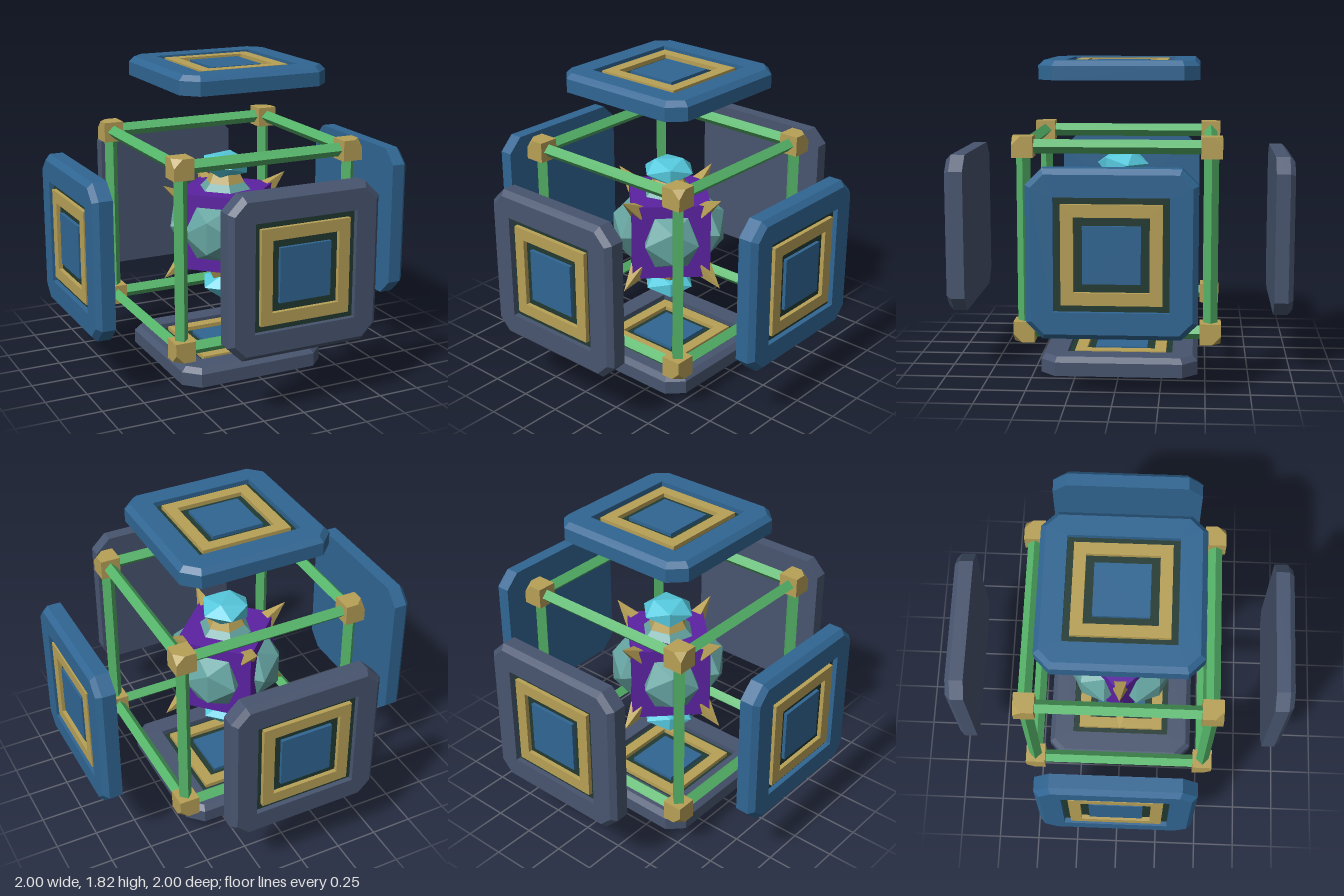
import * as THREE from 'three';
import { ConvexGeometry } from 'three/addons/geometries/ConvexGeometry.js';

const mat = (name, color) => new THREE.MeshStandardMaterial({ name, color, flatShading: true });
const CY = 0.82; // height of the centre

// Eight points of a square with cut corners, anticlockwise
const ring = (r, c, z) =>
  [[r, -c], [r, c], [c, r], [-c, r], [-r, c], [-r, -c], [-c, -r], [c, -r]].map(([x, y]) => [x, y, z]);

// Skin a list of equal rings
function skin(rings) {
  const pos = [];
  for (let k = 0; k < rings.length - 1; k++) {
    const a = rings[k], b = rings[k + 1];
    for (let i = 0; i < 8; i++) {
      const j = (i + 1) % 8;
      pos.push(...a[i], ...a[j], ...b[j], ...a[i], ...b[j], ...b[i]);
    }
  }
  const g = new THREE.BufferGeometry();
  g.setAttribute('position', new THREE.Float32BufferAttribute(pos, 3));
  g.computeVertexNormals();
  return g;
}

// Square frame with a square hole
function squareRing(outer, inner, depth) {
  const path = (p, r) => p.moveTo(-r, -r).lineTo(r, -r).lineTo(r, r).lineTo(-r, r).closePath();
  const s = new THREE.Shape();
  path(s, outer);
  const h = new THREE.Path();
  path(h, inner);
  s.holes.push(h);
  return new THREE.ExtrudeGeometry(s, { depth, bevelEnabled: false });
}

export function createModel() {
  const M = {
    blue: mat('blue', 0x306693), slate: mat('slate', 0x48556f), gold: mat('gold', 0xb8a157),
    green: mat('green', 0x55b469), dark: mat('dark green', 0x223a32), purple: mat('purple', 0x5c22a2),
    teal: mat('teal', 0x64a3a0), cyan: mat('cyan', 0x55c8dc),
  };
  const root = new THREE.Group();
  root.name = 'cubeDevice';
  const add = (parent, name, geo, m, x = 0, y = 0, z = 0) => {
    const mesh = new THREE.Mesh(geo, m);
    mesh.name = name;
    mesh.position.set(x, y, z);
    parent.add(mesh);
    return mesh;
  };

  // Six floating plates, each with a recessed square inlay
  const plateGeo = skin([
    ring(0, 0, 0), ring(0.458, 0.37, 0), ring(0.458, 0.37, 0.08),
    ring(0.428, 0.358, 0.11), ring(0.308, 0.308, 0.11), ring(0.308, 0.308, 0.08),
  ]);
  const floorGeo = new THREE.PlaneGeometry(0.616, 0.616);
  const trimGeo = squareRing(0.27, 0.202, 0.025);
  const padGeo = new THREE.BoxGeometry(0.31, 0.31, 0.02);
  const plate = (name, m, x, y, z, rx, ry) => {
    const g = new THREE.Group();
    g.name = name;
    add(g, 'plateBody', plateGeo, m);
    add(g, 'recessFloor', floorGeo, M.dark, 0, 0, 0.08);
    add(g, 'squareTrim', trimGeo, M.gold, 0, 0, 0.08);
    add(g, 'centrePad', padGeo, M.blue, 0, 0, 0.09);
    g.position.set(x, y, z);
    g.rotation.set(rx, ry, 0);
    root.add(g);
  };
  const q = Math.PI / 2, d = 0.89;
  plate('frontPlate', M.slate, 0, CY, d, 0, 0);
  plate('backPlate', M.slate, 0, CY, -d, 0, Math.PI);
  plate('leftPlate', M.blue, d, CY, 0, 0, q);
  plate('rightPlate', M.blue, -d, CY, 0, 0, -q);
  plate('topPlate', M.blue, 0, CY + d, 0, -q, 0);
  plate('bottomPlate', M.slate, 0, 0, 0, -q, 0);

  // Cage of twelve diamond-section bars
  const cage = new THREE.Group();
  cage.name = 'cage';
  cage.position.y = CY;
  root.add(cage);
  const e = 0.527, signs = [-1, 1];
  const barGeo = new THREE.CylinderGeometry(0.04, 0.04, 0.96, 4);
  for (const a of signs) for (const b of signs) {
    add(cage, 'uprightBar', barGeo, M.green, a * e, 0, b * e);
    add(cage, 'crossBar', barGeo, M.green, 0, a * e, b * e).rotation.z = q;
    add(cage, 'sideBar', barGeo, M.green, a * e, b * e, 0).rotation.x = q;
  }

  // Corner blocks with the outermost corner cut off
  const h = 0.06, cut = 0.01;
  for (const sx of signs) for (const sy of signs) for (const sz of signs) {
    const pts = [];
    for (const x of signs) for (const y of signs) for (const z of signs)
      if (x + y + z < 3) pts.push([x * h, y * h, z * h]);
    pts.push([cut, h, h], [h, cut, h], [h, h, cut]);
    const geo = new ConvexGeometry(pts.map(([x, y, z]) => new THREE.Vector3(x * sx, y * sy, z * sz)));
    add(cage, 'cornerBlock', geo, M.gold, sx * e, sy * e, sz * e);
  }

  // Core cube turned an eighth of a turn
  const core = new THREE.Group();
  core.name = 'core';
  core.position.y = CY;
  core.rotation.y = Math.PI / 4;
  root.add(core);
  const c = 0.232;
  add(core, 'coreCube', new THREE.BoxGeometry(2 * c, 2 * c, 2 * c), M.purple);

  // Spikes on the core corners
  const spikeGeo = new THREE.ConeGeometry(0.06, 0.17, 4);
  const up = new THREE.Vector3(0, 1, 0);
  for (const x of signs) for (const y of signs) for (const z of signs) {
    const dir = new THREE.Vector3(x, y, z).normalize();
    const s = add(core, 'cornerSpike', spikeGeo, M.gold);
    s.position.copy(dir).multiplyScalar(c * Math.sqrt(3) + 0.01);
    s.quaternion.setFromUnitVectors(up, dir);
  }

  // Faceted gems on the four sides
  const gemGeo = new THREE.IcosahedronGeometry(0.185, 0);
  gemGeo.scale(1, 1, 0.65);
  for (let i = 0; i < 4; i++) {
    const a = i * q;
    add(core, 'sideGem', gemGeo, M.teal, Math.sin(a) * c, 0, Math.cos(a) * c).rotation.y = a;
  }

  // Stacked pad, collar and crystal above and below
  const padCone = new THREE.CylinderGeometry(0.12, 0.16, 0.04, 6);
  const collarGeo = new THREE.CylinderGeometry(0.09, 0.12, 0.06, 6);
  const crystalGeo = new THREE.IcosahedronGeometry(0.16, 0);
  crystalGeo.scale(1, 0.5, 1);
  for (const s of signs) {
    const stack = new THREE.Group();
    stack.name = s > 0 ? 'topCrystal' : 'bottomCrystal';
    stack.rotation.x = s > 0 ? 0 : Math.PI;
    core.add(stack);
    add(stack, 'pad', padCone, M.teal, 0, c + 0.02, 0);
    add(stack, 'collar', collarGeo, M.gold, 0, c + 0.07, 0);
    add(stack, 'crystal', crystalGeo, M.cyan, 0, 0.375, 0);
  }
  return root;
}
